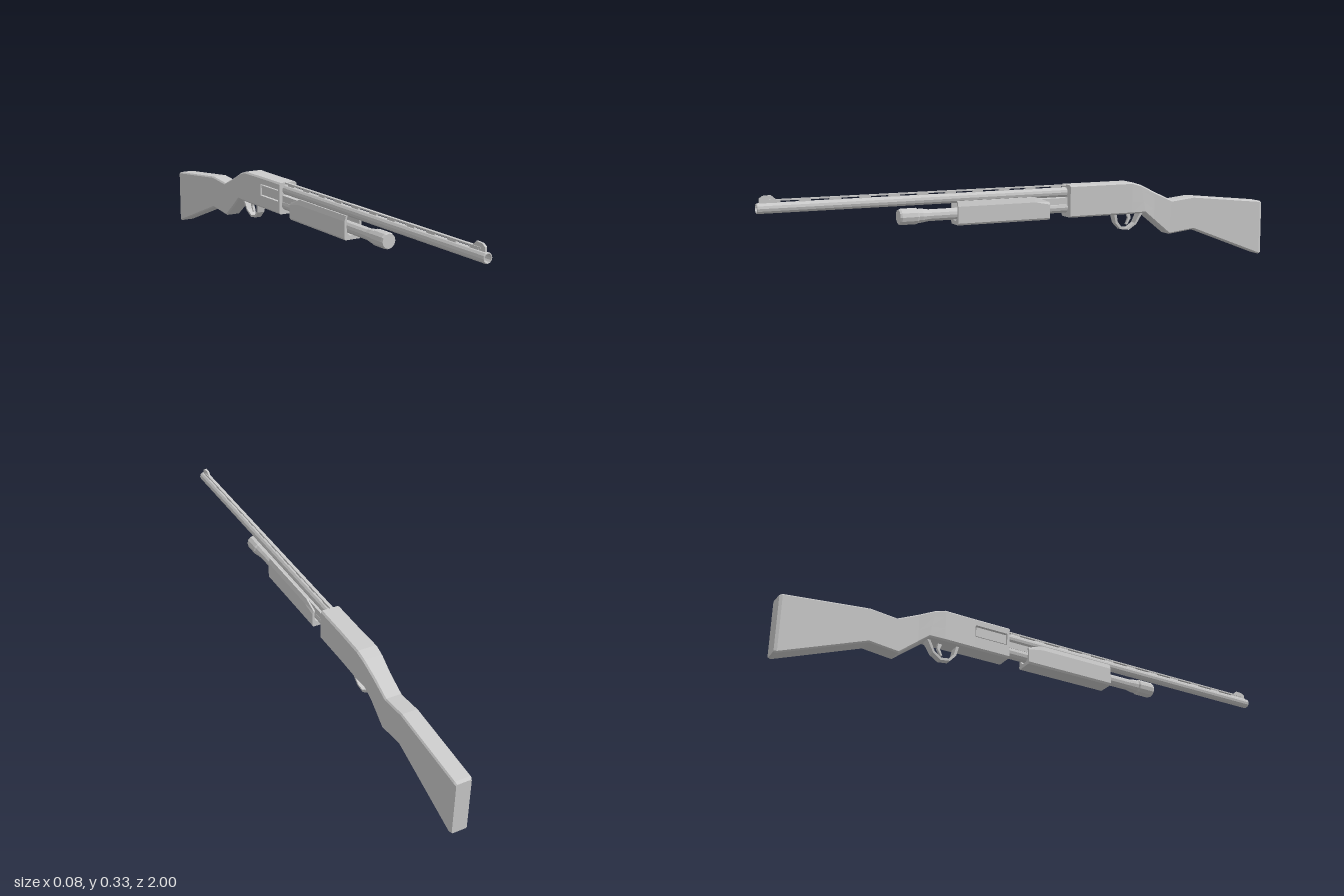
import * as THREE from 'three';

const BX = -0.006; // barrel, magazine and forend axis
const mat = (side = THREE.FrontSide) =>
  new THREE.MeshStandardMaterial({ color: 0xcccccc, flatShading: true, side });

// Receiver and stock stations: top z, top y, bottom z, bottom y, half width, chamfer
const STATIONS = [
  [-0.14, 0.318, -0.14, 0.198, 0.037, 0.006],
  [-0.15, 0.318, -0.15, 0.198, 0.037, 0.006],
  [-0.28, 0.318, -0.28, 0.198, 0.037, 0.006],
  [-0.40, 0.318, -0.40, 0.198, 0.039, 0.006],
  [-0.44, 0.306, -0.46, 0.198, 0.037, 0.006],
  [-0.50, 0.277, -0.50, 0.166, 0.033, 0.006],
  [-0.58, 0.240, -0.57, 0.110, 0.032, 0.005],
  [-0.68, 0.250, -0.68, 0.122, 0.032, 0.005],
  [-0.99, 0.217, -0.99, 0.003, 0.032, 0.005],
  [-1.00, 0.211, -1.00, 0.005, 0.028, 0.004],
];
const PORT = [0.40, 0.78]; // port height as fractions of the side

// Chamfered section, counter-clockwise seen from the front
function ring([tz, ty, bz, by, w, c]) {
  const at = (x, y) => {
    const f = (y - by) / (ty - by);
    return new THREE.Vector3(x, y, bz + (tz - bz) * f);
  };
  const side = [by + c, by + (ty - by) * PORT[0], by + (ty - by) * PORT[1], ty - c];
  return [
    ...side.map((y) => at(w, y)), at(w - c, ty), at(c - w, ty),
    ...side.slice().reverse().map((y) => at(-w, y)), at(c - w, by), at(w - c, by),
  ];
}

function bodyGeometry() {
  const rings = STATIONS.map(ring), pts = [];
  const n = rings[0].length;
  for (let s = 0; s < rings.length - 1; s++) {
    const a = rings[s], b = rings[s + 1];
    for (let i = 0; i < n; i++) {
      if (s === 1 && i === 7) continue; // opening for the ejection port
      const j = (i + 1) % n;
      pts.push(b[i], b[j], a[i], b[j], a[j], a[i]);
    }
  }
  const first = rings[0], last = rings[rings.length - 1];
  for (let i = 1; i < n - 1; i++) {
    pts.push(first[0], first[i], first[i + 1], last[0], last[i + 1], last[i]);
  }
  const g = new THREE.BufferGeometry().setFromPoints(pts);
  g.computeVertexNormals();
  return g;
}

// Turned part along z from [radius, z] points
function turned(profile, sides) {
  const g = new THREE.LatheGeometry(profile.map(([r, z]) => new THREE.Vector2(r, z)), sides);
  return g.rotateX(Math.PI / 2);
}

// Side outline of [z, y] points, extruded across x
function sidePlate(points, width, hole) {
  const toShape = (p) => p.map(([z, y]) => new THREE.Vector2(-z, y));
  const shape = new THREE.Shape(toShape(points));
  if (hole) shape.holes.push(new THREE.Path(toShape(hole)));
  const g = new THREE.ExtrudeGeometry(shape, { depth: width, bevelEnabled: false });
  return g.translate(0, 0, -width / 2).rotateY(Math.PI / 2);
}

export function createModel() {
  const group = new THREE.Group();
  const add = (name, geometry, x = 0, y = 0, z = 0, side) => {
    const m = new THREE.Mesh(geometry, mat(side));
    m.name = name;
    m.position.set(x, y, z);
    group.add(m);
    return m;
  };
  const box = (name, w, h, d, x, y, z, side) =>
    add(name, new THREE.BoxGeometry(w, h, d), x, y, z, side);

  // Receiver flowing into the stock, with a recessed ejection port
  add('receiverAndStock', bodyGeometry());
  box('ejectionPort', 0.017, 0.0456, 0.13, -0.0285, 0.2688, -0.215, THREE.BackSide);
  box('bolt', 0.01, 0.036, 0.122, -0.029, 0.268, -0.215);

  // Hollow barrel
  add('barrel', turned([
    [0.018, -0.15], [0.018, 0.997], [0.0165, 1.0], [0.014, 1.0], [0.014, 0.85], [0, 0.85],
  ], 12), BX, 0.29, 0, THREE.DoubleSide);

  // Raised sighting rib on posts
  box('rib', 0.012, 0.005, 1.11, BX, 0.3155, 0.415);
  for (let i = 0; i < 11; i++) {
    box('ribPost', 0.009, 0.01, 0.04, BX, 0.31, -0.1 + i * 0.104);
  }

  // Front sight ramp
  add('frontSight', sidePlate([
    [0.99, 0.305], [0.99, 0.322], [0.978, 0.331], [0.95, 0.333], [0.932, 0.317], [0.932, 0.305],
  ], 0.008), BX);

  // Magazine tube and end cap
  add('magazineTube', turned([
    [0.021, -0.15], [0.021, 0.40], [0.025, 0.425], [0.025, 0.44], [0.029, 0.445],
    [0.029, 0.503], [0.026, 0.51], [0, 0.51],
  ], 12), BX, 0.234, 0, THREE.DoubleSide);
  box('actionSlide', 0.036, 0.024, 0.16, BX, 0.258, -0.07);

  // Pump forend: a trough round the magazine, its rear rims sloping down
  const half = [
    [0.030, 0.195], [0.035, 0.202], [0.035, 0.262], [0.029, 0.281],
    [0.023, 0.281], [0.027, 0.25], [0.024, 0.222], [0.012, 0.210],
  ];
  const outline = [...half, ...half.slice().reverse().map(([x, y]) => [-x, y])];
  const forend = new THREE.ExtrudeGeometry(
    new THREE.Shape(outline.map(([x, y]) => new THREE.Vector2(x, y))),
    { depth: 0.36, steps: 6, bevelEnabled: false },
  ).translate(0, 0, -0.06);
  const fp = forend.attributes.position;
  for (let i = 0; i < fp.count; i++) {
    if (fp.getZ(i) < -0.05 && fp.getY(i) > 0.24) {
      fp.setY(i, 0.24 + (fp.getY(i) - 0.24) * 0.5);
    }
  }
  forend.computeVertexNormals();
  add('forend', forend, BX);

  // Trigger guard, narrowing towards the bottom
  const guard = sidePlate(
    [[-0.333, 0.204], [-0.343, 0.163], [-0.365, 0.139], [-0.402, 0.134], [-0.433, 0.155], [-0.462, 0.204]],
    0.036,
    [[-0.344, 0.2], [-0.352, 0.167], [-0.37, 0.147], [-0.399, 0.143], [-0.426, 0.16], [-0.448, 0.2]],
  );
  const gp = guard.attributes.position;
  for (let i = 0; i < gp.count; i++) {
    const f = THREE.MathUtils.clamp((gp.getY(i) - 0.134) / 0.066, 0, 1);
    gp.setX(i, gp.getX(i) * (0.65 + 0.35 * f));
  }
  guard.computeVertexNormals();
  add('triggerGuard', guard);

  // Curved trigger
  add('trigger', sidePlate([
    [-0.392, 0.204], [-0.402, 0.178], [-0.392, 0.155], [-0.398, 0.154], [-0.412, 0.176], [-0.41, 0.204],
  ], 0.01));

  return group;
}
